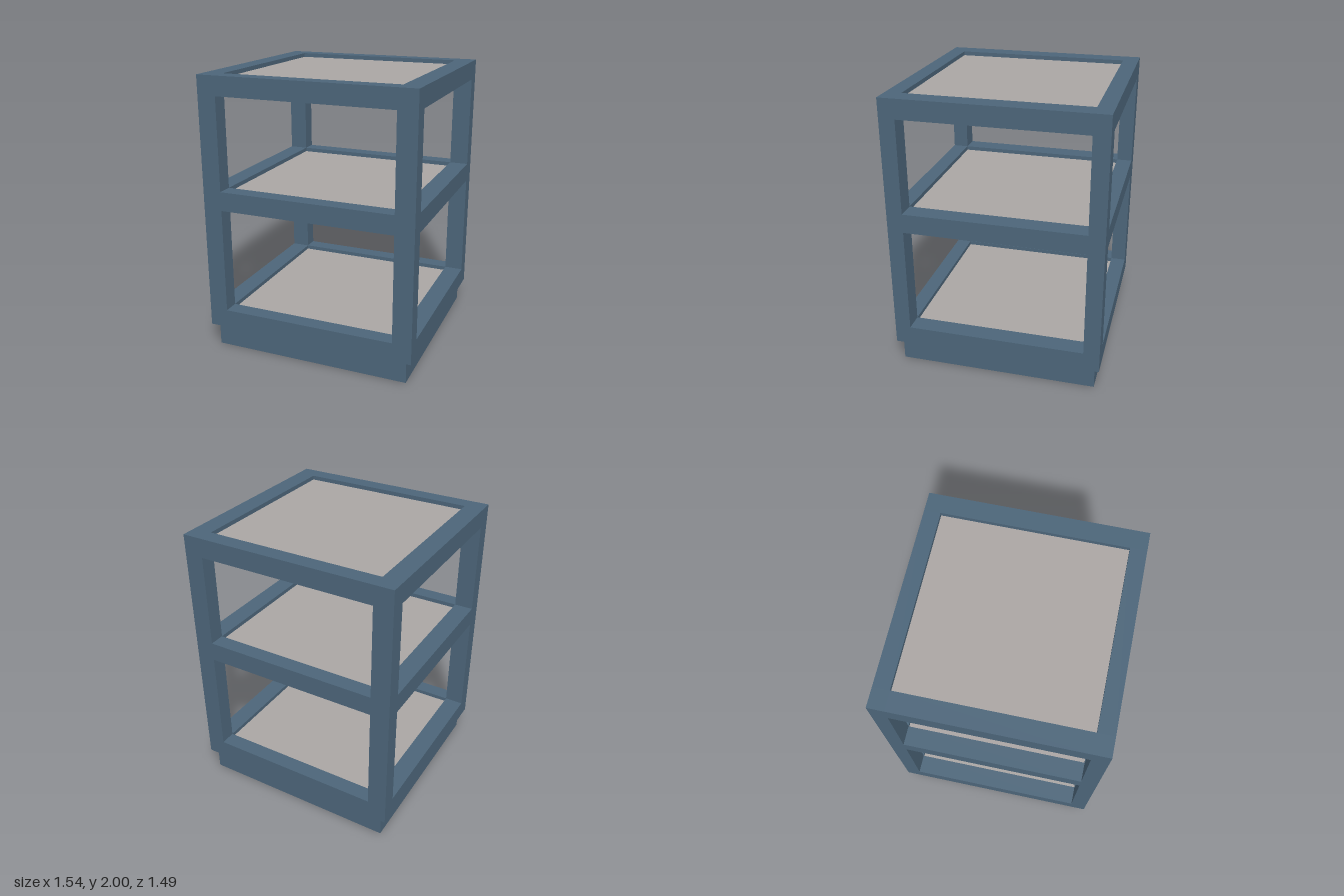
import * as THREE from 'three';

export function createModel() {
  const model = new THREE.Group();
  const frameMat = new THREE.MeshStandardMaterial({ color: 0x4c6579, flatShading: true });
  const panelMat = new THREE.MeshStandardMaterial({ color: 0xaaa5a3, flatShading: true });

  // Box given by its extents on each axis
  function box(name, [x0, x1], [y0, y1], [z0, z1], mat = frameMat) {
    const mesh = new THREE.Mesh(new THREE.BoxGeometry(x1 - x0, y1 - y0, z1 - z0), mat);
    mesh.position.set((x0 + x1) / 2, (y0 + y1) / 2, (z0 + z1) / 2);
    mesh.name = name;
    model.add(mesh);
  }

  const outX = 0.768, outZ = 0.745, inner = 0.632;
  const foot = 0.165, top = 2;

  // Recessed plinth
  box('plinth', [-0.72, 0.725], [0, foot], [-0.71, 0.71]);

  // Corner posts
  const spansX = { right: [-outX, -inner], left: [inner, outX] };
  const spansZ = { front: [inner, outZ], back: [-outZ, -inner] };
  for (const [sx, x] of Object.entries(spansX))
    for (const [sz, z] of Object.entries(spansZ))
      box(`${sz}${sx}Post`, x, [foot, top], z);

  // Three tiers: rails between the posts and an inset shelf panel
  const tiers = { lower: [foot, 0.30], middle: [1.063, 1.2], top: [1.863, top] };
  for (const [tier, y] of Object.entries(tiers)) {
    for (const [s, z] of Object.entries(spansZ)) box(`${tier}${s}Rail`, [-inner, inner], y, z);
    for (const [s, x] of Object.entries(spansX)) box(`${tier}${s}Rail`, x, y, [-inner, inner]);
    box(`${tier}Shelf`, [-inner, inner], [y[0] + 0.02, y[1] - 0.03], [-inner, inner], panelMat);
  }
  return model;
}
